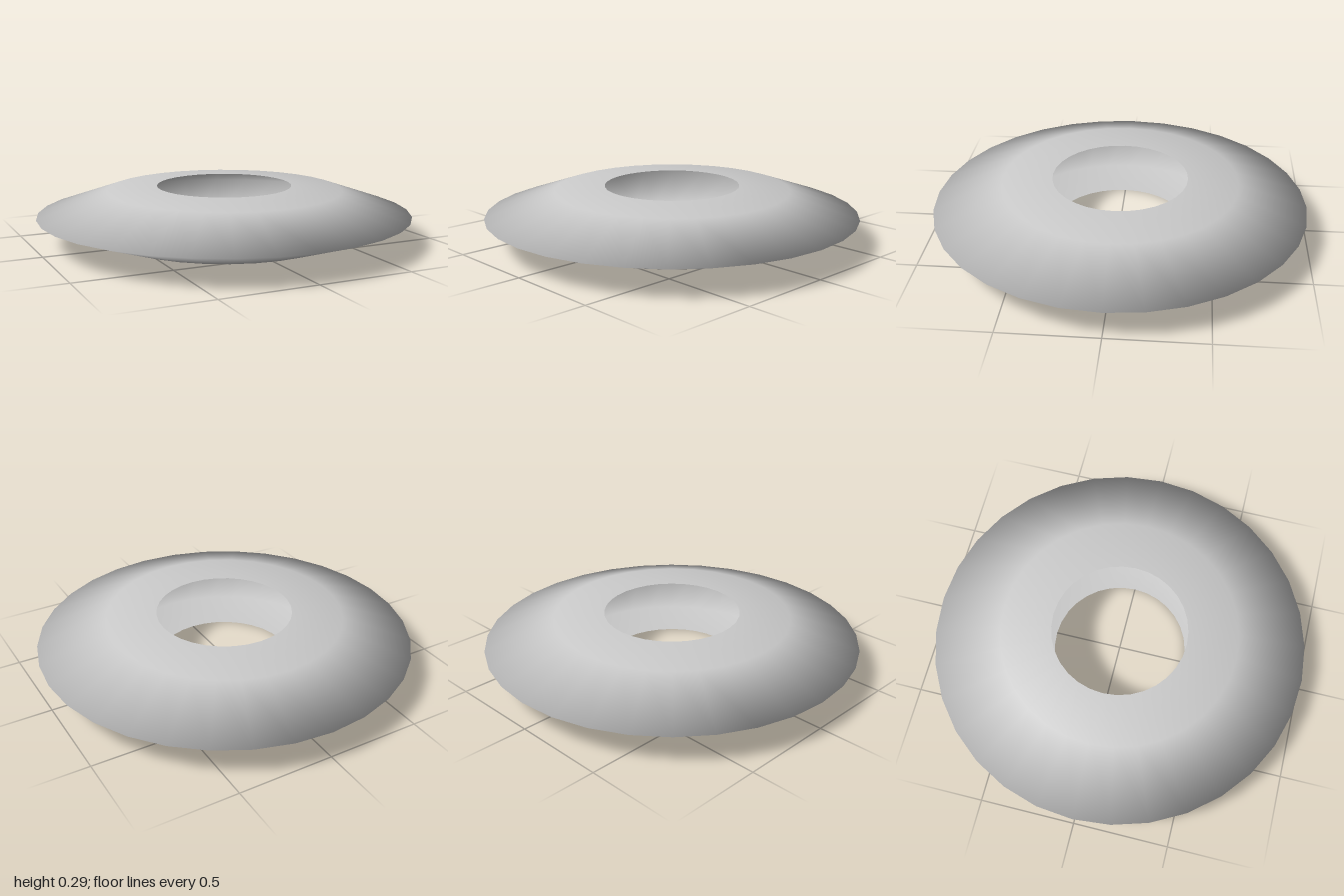
import * as THREE from 'three';

export function createModel() {
  const group = new THREE.Group();
  group.name = 'hollowRing';

  // Half cross-section: lower sheet from the hole to the sharp rim, then back over the top
  const height = 0.29;
  const lower = [[0.362, 0], [0.632, 0.02], [1, height / 2]];
  const upper = lower.slice(0, 2).reverse().map(([r, y]) => [r, height - y]);
  const profile = [...lower, ...upper].map(([r, y]) => new THREE.Vector2(r, y));

  // Thin hollow shell, open around the central hole, smooth across the rim
  const shell = new THREE.Mesh(
    new THREE.LatheGeometry(profile, 32),
    new THREE.MeshStandardMaterial({ color: 0xcccccc, side: THREE.DoubleSide })
  );
  shell.name = 'ringShell';
  group.add(shell);

  return group;
}
